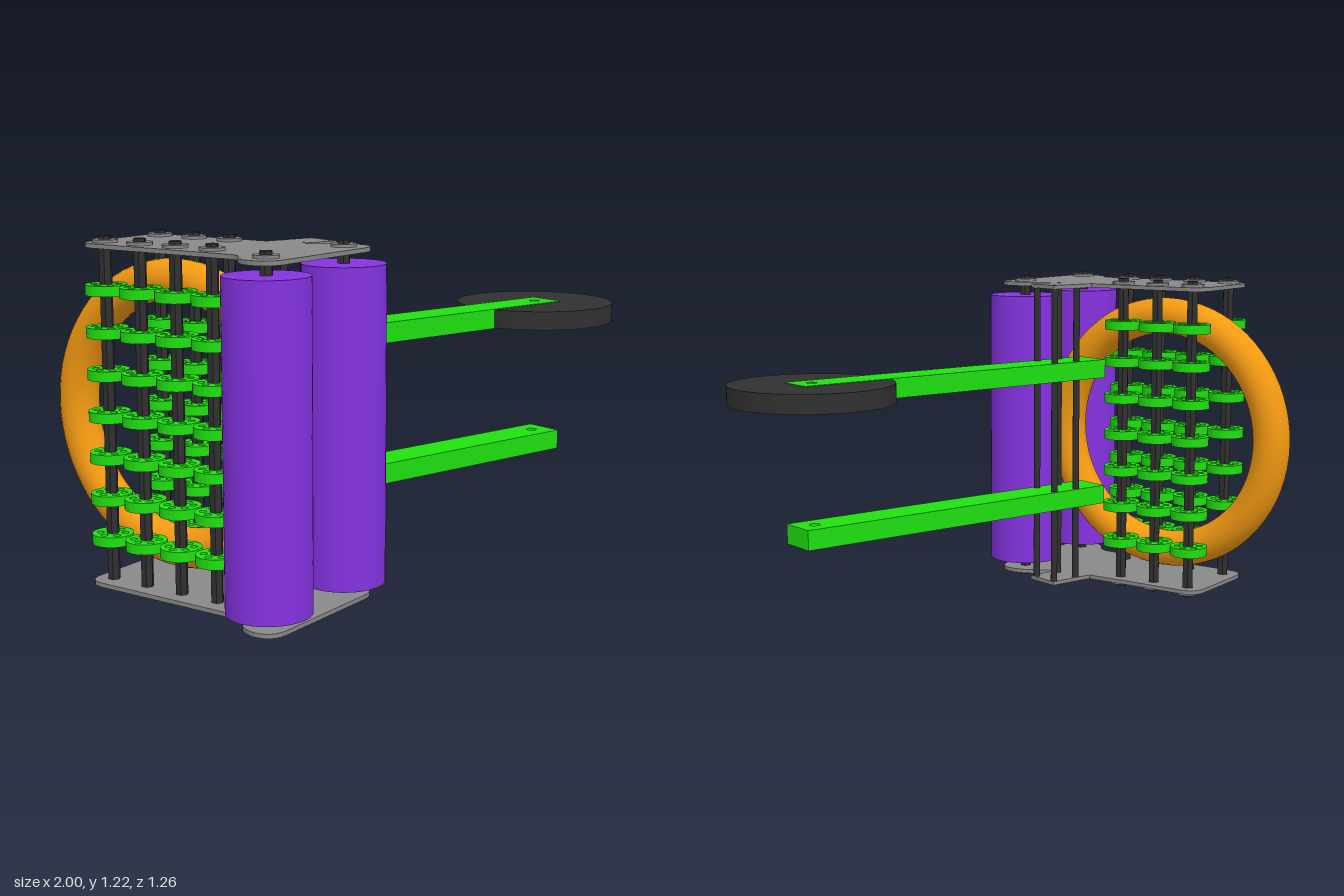
import * as THREE from 'three';

const TILT = 0.14; // both the frame and the arms are turned by 8 degrees, in opposite senses
const HEIGHT = 1.217;
const mat = (color) => new THREE.MeshStandardMaterial({ color });
const MATS = {
  plate: mat(0x888888), dark: mat(0x303030), green: mat(0x1fe010),
  purple: mat(0x8432e0), orange: mat(0xf39a12),
};

// Shape drawn in (x, z), laid flat with its underside at y = 0
function flatExtrude(shape, thickness, curveSegments = 24) {
  const geo = new THREE.ExtrudeGeometry(shape, { depth: thickness, bevelEnabled: false, curveSegments });
  return geo.rotateX(Math.PI / 2).translate(0, thickness, 0);
}

function hole(shape, x, y, r) {
  shape.holes.push(new THREE.Path().absarc(x, y, r, 0, Math.PI * 2, true));
}

// Closed outline from [x, z, corner radius] points
function roundedOutline(points) {
  const shape = new THREE.Shape();
  points.forEach(([x, z, r], i) => {
    const p = new THREE.Vector2(x, z);
    const toward = (q) => new THREE.Vector2(q[0], q[1]).sub(p).setLength(r).add(p);
    const a = toward(points[(i + points.length - 1) % points.length]);
    const b = toward(points[(i + 1) % points.length]);
    if (i === 0) shape.moveTo(a.x, a.y); else shape.lineTo(a.x, a.y);
    if (r > 0) shape.quadraticCurveTo(x, z, b.x, b.y);
  });
  shape.closePath();
  return shape;
}

export function createModel() {
  const root = new THREE.Group();
  root.name = 'rollerIntake';
  const add = (name, geo, material, x = 0, y = 0, z = 0, ry = 0) => {
    const mesh = new THREE.Mesh(geo, material);
    mesh.name = name;
    mesh.position.set(x, y, z);
    mesh.rotation.y = ry;
    root.add(mesh);
    return mesh;
  };

  // Shaft positions (x, z)
  const wheelShafts = [];
  for (let i = 0; i < 4; i++) wheelShafts.push([-0.885 + 0.0215 * i, -0.27 + 0.15 * i]);
  for (let i = 0; i < 3; i++) wheelShafts.push([-0.617 + 0.021 * i, -0.302 + 0.151 * i]);
  const rollerShafts = [[-0.861, 0.462], [-0.455, 0.409]];
  const standoffs = [[-0.436, 0.12], [-0.329, 0.136], [-0.452, 0.227], [-0.345, 0.243]];

  // Top and bottom plates with a bracket tab
  const outline = roundedOutline([
    [-0.96, -0.322, 0.07], [-0.57, -0.377, 0.07], [-0.5, 0.1, 0], [-0.318, 0.13, 0],
    [-0.334, 0.264, 0], [-0.475, 0.243, 0.02], [-0.372, 0.365, 0.06], [-0.368, 0.482, 0.08],
    [-0.945, 0.556, 0.08], [-0.955, 0.42, 0.07], [-0.867, 0.36, 0.05],
  ]);
  standoffs.forEach(([x, z]) => hole(outline, x, z, 0.008));
  const plateGeo = flatExtrude(outline, 0.015, 10);
  add('bottomPlate', plateGeo, MATS.plate, 0, 0.021, 0);
  add('topPlate', plateGeo, MATS.plate, 0, HEIGHT - 0.036, 0);

  // Hexagonal shafts with a washer at each end
  const shaftGeo = new THREE.CylinderGeometry(0.022, 0.022, HEIGHT, 6).toNonIndexed();
  shaftGeo.computeVertexNormals();
  const washerGeo = new THREE.CylinderGeometry(0.043, 0.043, 0.01, 28);
  for (const [x, z] of [...wheelShafts, ...rollerShafts]) {
    add('shaft', shaftGeo, MATS.dark, x, HEIGHT / 2, z, TILT);
    add('bottomWasher', washerGeo, MATS.plate, x, 0.016, z);
    add('topWasher', washerGeo, MATS.plate, x, HEIGHT - 0.016, z);
  }

  // Standoff posts under the bracket tab
  const postGeo = new THREE.CylinderGeometry(0.013, 0.013, HEIGHT - 0.072, 12);
  standoffs.forEach(([x, z]) => add('standoff', postGeo, MATS.dark, x, HEIGHT / 2, z));

  // Small grip wheels with pierced webs
  const wheelShape = new THREE.Shape().absarc(0, 0, 0.071, 0, Math.PI * 2);
  for (let i = 0; i < 6; i++) {
    const a = (i * Math.PI) / 3;
    hole(wheelShape, 0.043 * Math.cos(a), 0.043 * Math.sin(a), 0.0125);
  }
  const gripGeo = flatExtrude(wheelShape, 0.035, 14);
  for (const [x, z] of wheelShafts) {
    for (let row = 0; row < 7; row++) {
      add('gripWheel', gripGeo, MATS.green, x, 0.182 + 0.1428 * row - 0.0175, z, TILT);
    }
  }

  // Long front rollers
  const rollerGeo = new THREE.CylinderGeometry(0.14, 0.14, 1.068, 48);
  rollerShafts.forEach(([x, z]) => add('roller', rollerGeo, MATS.purple, x, HEIGHT / 2, z));

  // Upright ring held between the grip wheels
  const ringGeo = new THREE.TorusGeometry(0.462, 0.07, 24, 72);
  add('ring', ringGeo, MATS.orange, -0.718, HEIGHT / 2, -0.104, Math.PI / 2 + TILT);

  // Arms, built along local x with the end hole at the origin
  const armShape = new THREE.Shape();
  armShape.moveTo(-1.29, -0.072);
  armShape.lineTo(0.07, -0.072);
  armShape.lineTo(0.07, 0.072);
  armShape.lineTo(-1.29, 0.072);
  armShape.closePath();
  hole(armShape, 0, 0, 0.019);
  const armGeo = flatExtrude(armShape, 0.072);
  const [endX, endZ] = [0.703, 0.335];
  add('lowerArm', armGeo, MATS.green, endX, 0.322, endZ, -TILT);
  add('upperArm', armGeo, MATS.green, endX, 0.825, endZ, -TILT);

  // Large disc at the end of the upper arm, almost flush with it
  const disc = new THREE.Shape().absarc(0, 0, 0.293, 0, Math.PI * 2);
  hole(disc, 0, 0, 0.019);
  add('endDisc', flatExtrude(disc, 0.068, 36), MATS.dark, endX, 0.827, endZ);

  return root;
}
